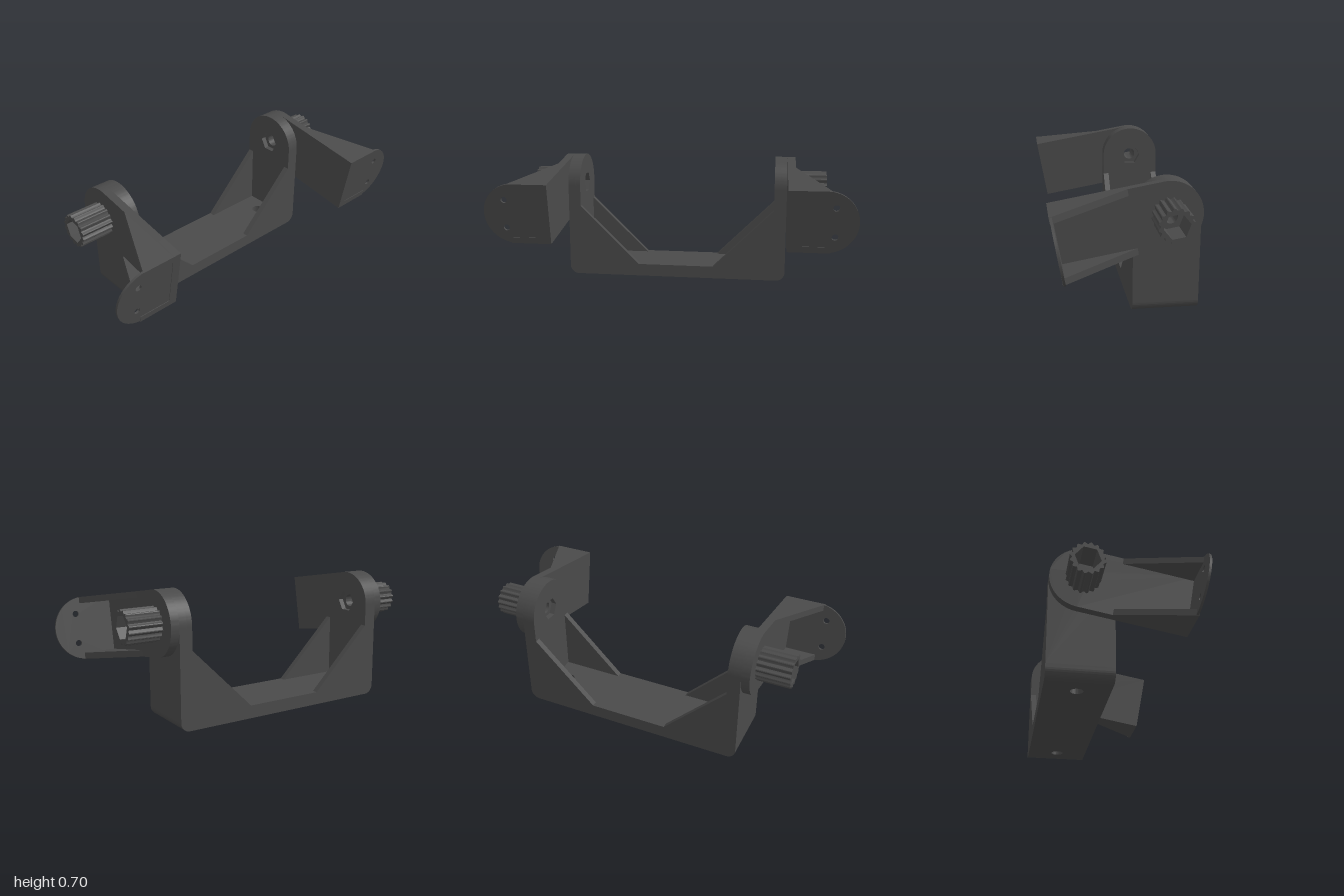
import * as THREE from 'three';
import { toCreasedNormals } from 'three/addons/utils/BufferGeometryUtils.js';

const W = 0.17;                    // half width of bracket and arms
const PX = -0.21, PY = 0.53;       // pivot axis
const TILT = -0.174;               // arm slope
const IN = 0.565, OUT = 0.635, FACE = 0.68;   // upright inside, outside, arm outside

const material = new THREE.MeshStandardMaterial({ color: 0x4a4a4a });

const shapeOf = (pts) => new THREE.Shape(pts.map(([x, y]) => new THREE.Vector2(x, y)));

function circle(x, y, r) {
  return new THREE.Path().absarc(x, y, r, 0, Math.PI * 2, true);
}

function hexagon(r, turn = 0) {
  const pts = [];
  for (let i = 0; i < 6; i++) {
    const a = turn - i * Math.PI / 3;
    pts.push(new THREE.Vector2(r * Math.cos(a), r * Math.sin(a)));
  }
  return new THREE.Path(pts);
}

// Extrude from z0 to z1, with optional holes
function slab(shape, z0, z1, holes = []) {
  shape.holes.push(...holes);
  return new THREE.ExtrudeGeometry(shape, { depth: z1 - z0, bevelEnabled: false, curveSegments: 32 })
    .translate(0, 0, z0);
}

// Turn a (z, y) profile extruded along its depth so that the depth runs along x
const alongX = (geo) => geo.applyMatrix4(new THREE.Matrix4().set(
  0, 0, -1, 0,  0, 1, 0, 0,  1, 0, 0, 0,  0, 0, 0, 1));

// Turn a (u, z) profile extruded along its depth so that the depth runs along -y
const alongY = (geo) => geo.applyMatrix4(new THREE.Matrix4().set(
  1, 0, 0, 0,  0, 0, -1, 0,  0, 1, 0, 0,  0, 0, 0, 1));

// Reflect a non-indexed geometry in z and restore its winding
function mirrorZ(geo) {
  const g = geo.clone().scale(1, 1, -1);
  for (const attr of Object.values(g.attributes)) {
    const n = attr.itemSize, a = attr.array;
    for (let i = 0; i < attr.count; i += 3) {
      for (let k = 0; k < n; k++) {
        const p = i * n + k, q = (i + 2) * n + k;
        [a[p], a[q]] = [a[q], a[p]];
      }
    }
  }
  return g;
}

function add(group, name, geo) {
  const mesh = new THREE.Mesh(toCreasedNormals(geo, 0.45), material);
  mesh.name = name;
  group.add(mesh);
}

// Upright outline around the pivot
function uprightShape() {
  const s = new THREE.Shape();
  s.moveTo(-W, 0.07 - PY);
  s.lineTo(W, 0.07 - PY);
  s.lineTo(W, 0);
  s.absarc(0, 0, W, 0, Math.PI, false);
  s.closePath();
  return s;
}

// Arm outline around the pivot: rounded at the pivot, square at the end
function armShape() {
  const s = new THREE.Shape();
  s.moveTo(0, -W);
  s.lineTo(0.57, -W);
  s.lineTo(0.57, W);
  s.lineTo(0, W);
  s.absarc(0, 0, W, Math.PI / 2, Math.PI * 1.5, false);
  return s;
}

// Scalloped knob outline
function knobShape(r) {
  const pts = [];
  for (let i = 0; i < 128; i++) {
    const a = i / 128 * Math.PI * 2;
    const rr = r + 0.006 * Math.cos(16 * a);
    pts.push([rr * Math.cos(a), rr * Math.sin(a)]);
  }
  return shapeOf(pts);
}

export function createModel() {
  const model = new THREE.Group();
  model.name = 'pivotBracket';

  // Floor with two screw holes
  const floor = shapeOf([[-W, -IN], [W, -IN], [W, IN], [-W, IN]]);
  add(model, 'floor', alongY(slab(floor, -0.07, 0, [circle(0, -0.48, 0.033), circle(0, 0.48, 0.033)]))
    .translate(PX, 0, 0));

  // Parts of the front half, mirrored to the back
  const corner = new THREE.Shape();
  corner.moveTo(IN, 0);
  corner.lineTo(OUT - 0.05, 0);
  corner.absarc(OUT - 0.05, 0.05, 0.05, -Math.PI / 2, 0, false);
  corner.lineTo(OUT, 0.07);
  corner.lineTo(IN, 0.07);
  const gusset = () => shapeOf([[0.22, 0.07], [IN, 0.07], [IN, 0.41]]);
  const bracketParts = {
    roundedCorner: alongX(slab(corner, -W, W)),
    uprightInner: slab(uprightShape(), IN, 0.595, [hexagon(0.062)]).translate(0, PY, 0),
    uprightOuter: slab(uprightShape(), 0.595, OUT, [circle(0, 0, 0.034)]).translate(0, PY, 0),
    gussetLeft: alongX(slab(gusset(), -W, -W + 0.032)),
    gussetRight: alongX(slab(gusset(), W - 0.032, W)),
  };

  // Arm plate, two wedge ribs and the round-ended end flange
  const rib = () => shapeOf([[0.18, FACE], [0.57, FACE], [0.57, 0.86]]);
  const flange = new THREE.Shape();
  flange.moveTo(FACE, -W);
  flange.lineTo(0.83, -W);
  flange.absarc(0.83, 0, W, -Math.PI / 2, Math.PI / 2, false);
  flange.lineTo(FACE, W);
  const armParts = {
    armPlate: slab(armShape(), OUT, FACE, [circle(0, 0, 0.034)]),
    armRibTop: alongY(slab(rib(), -W, -W + 0.034)),
    armRibBottom: alongY(slab(rib(), W - 0.034, W)),
    endFlange: alongX(slab(flange, -0.567, -0.555,
      [circle(0.88, 0.08, 0.017), circle(0.88, -0.08, 0.017)])),
    // Knob: solid base with a round hole, then a hexagonal socket
    knobBase: slab(knobShape(0.084), FACE, 0.71, [circle(0, 0, 0.034)]),
    knobGrip: slab(knobShape(0.084), 0.71, 0.86, [hexagon(0.066)]),
  };

  for (const side of ['front', 'back']) {
    const place = (geo) => (side === 'front' ? geo : mirrorZ(geo));
    const half = new THREE.Group();
    half.name = side + 'Upright';
    half.position.x = PX;
    const arm = new THREE.Group();
    arm.name = side + 'Arm';
    arm.position.set(PX, PY, 0);
    arm.rotation.z = TILT;
    for (const [name, geo] of Object.entries(bracketParts)) add(half, name, place(geo));
    for (const [name, geo] of Object.entries(armParts)) add(arm, name, place(geo));
    model.add(half, arm);
  }
  return model;
}
